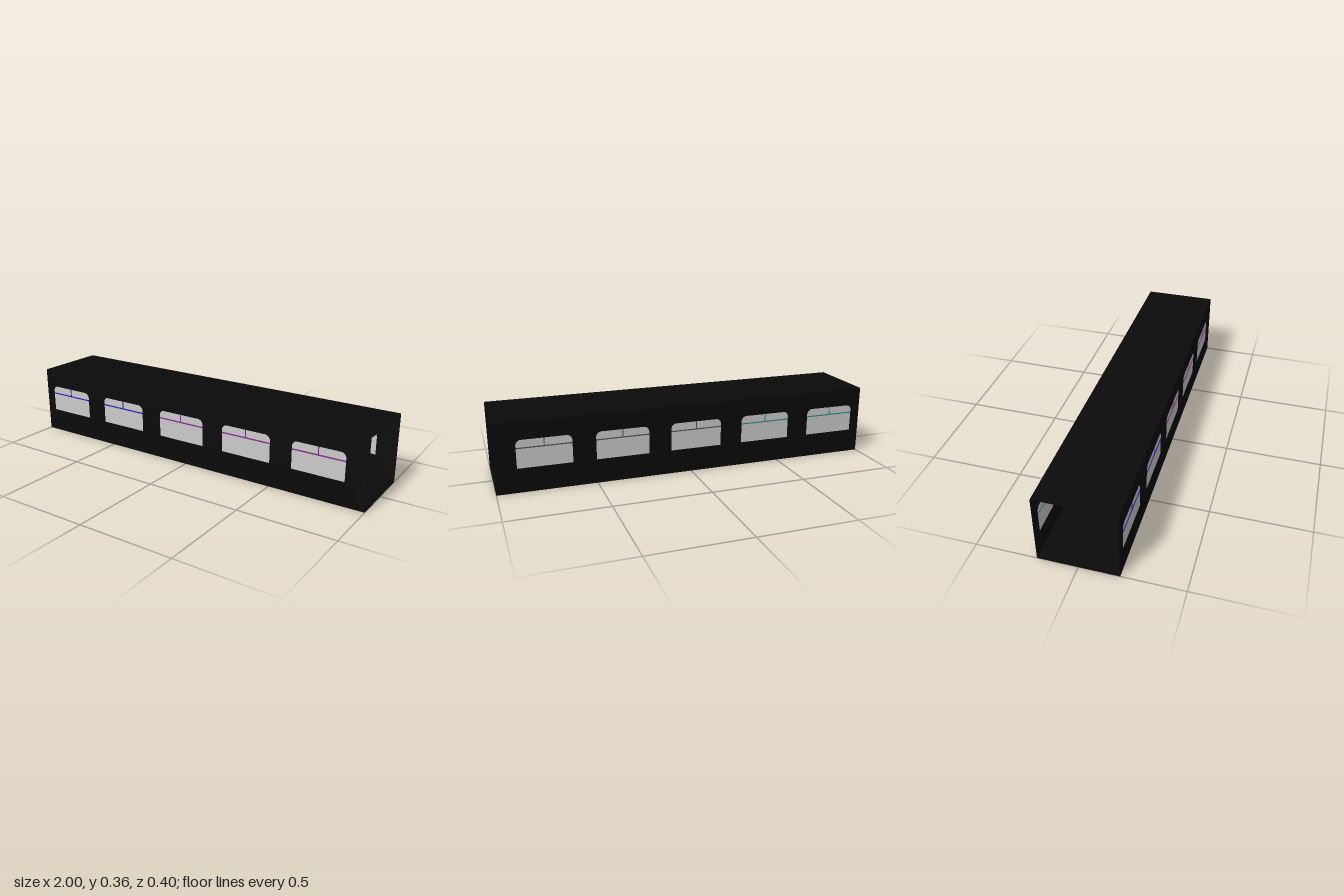
import * as THREE from 'three';

const LENGTH = 2, HEIGHT = 0.364, WALL = 0.005;
const WIN = { w: 0.274, y0: 0.125, y1: 0.27, r: 0.028 };
const WINDOW_X = [0, 1, 2, 3, 4].map((i) => -0.812 + i * 0.392);
const RAIL_Y = 0.228, BAR = 0.006;

const mat = (color, side = THREE.FrontSide) => new THREE.MeshStandardMaterial({ color, side });

// Window outline: square at the sill, rounded at the top
function windowOutline(Type, cx) {
  const { w, y0, y1, r } = WIN, a = cx - w / 2, b = cx + w / 2;
  const p = new Type();
  p.moveTo(a, y0);
  p.lineTo(b, y0);
  p.lineTo(b, y1 - r);
  p.absarc(b - r, y1 - r, r, 0, Math.PI / 2, false);
  p.lineTo(a + r, y1);
  p.absarc(a + r, y1 - r, r, Math.PI / 2, Math.PI, false);
  p.closePath();
  return p;
}

function add(parent, name, geometry, material, x = 0, y = 0, z = 0) {
  const mesh = new THREE.Mesh(geometry, material);
  mesh.name = name;
  mesh.position.set(x, y, z);
  parent.add(mesh);
  return mesh;
}

// One long wall with five windows; z0 is its inner or outer lower z face
function buildSide(name, z0, barZ, barDepth, barColors, shell, glass) {
  const side = new THREE.Group();
  side.name = name;
  const wall = new THREE.Shape();
  wall.moveTo(-LENGTH / 2, 0);
  wall.lineTo(LENGTH / 2, 0);
  wall.lineTo(LENGTH / 2, HEIGHT);
  wall.lineTo(-LENGTH / 2, HEIGHT);
  wall.closePath();
  wall.holes = WINDOW_X.map((x) => windowOutline(THREE.Path, x));
  add(side, 'wallPanel', new THREE.ExtrudeGeometry(wall, { depth: WALL, bevelEnabled: false, curveSegments: 8 }), shell, 0, 0, z0);

  WINDOW_X.forEach((x, i) => {
    const pane = new THREE.ExtrudeGeometry(windowOutline(THREE.Shape, x), { depth: 0.003, bevelEnabled: false, curveSegments: 8 });
    add(side, 'windowPane', pane, glass, 0, 0, z0 + 0.001);
    // Horizontal rail with a short upright dividing the top light
    const bar = mat(barColors[i]);
    add(side, 'windowRail', new THREE.BoxGeometry(WIN.w, BAR, barDepth), bar, x, RAIL_Y, barZ);
    add(side, 'windowMullion', new THREE.BoxGeometry(BAR * 0.7, WIN.y1 - RAIL_Y, barDepth), bar, x, (WIN.y1 + RAIL_Y) / 2, barZ);
  });
  return side;
}

export function createModel() {
  const model = new THREE.Group();
  model.name = 'carriageBody';
  const shell = mat(0x0a0a0a), glass = mat(0xcccccc);

  // Floor slab and thin roof; both ends stay open
  add(model, 'floor', new THREE.BoxGeometry(LENGTH, 0.009, 0.39), shell, 0, 0.0045, 0);
  const roof = add(model, 'roof', new THREE.PlaneGeometry(LENGTH, 0.395), mat(0x0a0a0a, THREE.DoubleSide), 0, HEIGHT, -0.0005);
  roof.rotation.x = -Math.PI / 2;

  // Side walls; the front bars stand slightly proud of the wall
  const blue = 0x2a20b0, purple = 0x8a2a90, dark = 0x555555, teal = 0x20908c;
  model.add(buildSide('frontWall', 0.192, 0.1955, 0.007, [blue, blue, purple, purple, purple], shell, glass));
  model.add(buildSide('backWall', -0.198, -0.1955, 0.005, [teal, teal, dark, dark, dark], shell, glass));
  return model;
}
